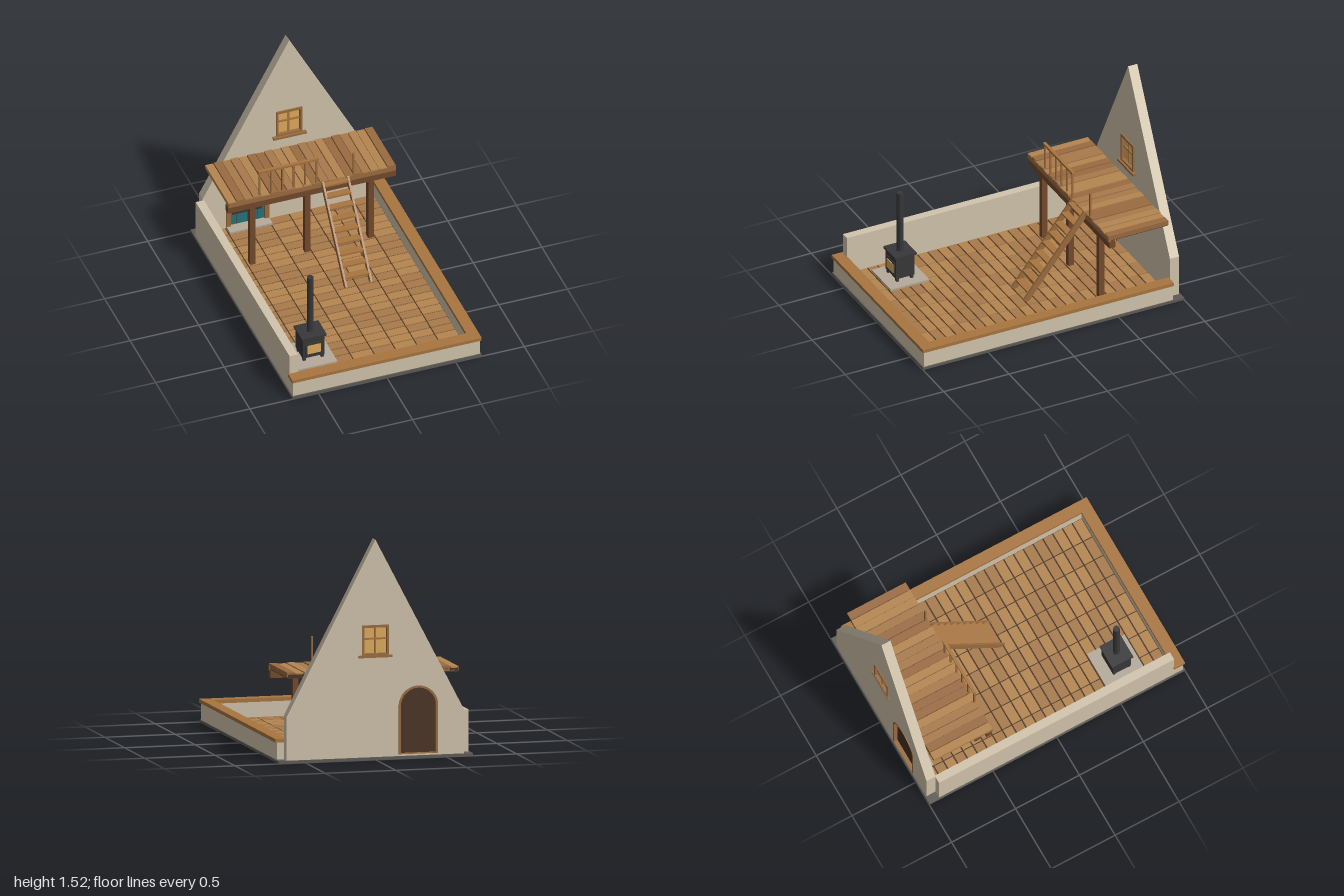
import * as THREE from 'three';

const mat = (color, opts = {}) => new THREE.MeshStandardMaterial({ color, ...opts });
const M = {
  plaster: mat(0xd3c5ad), slab: mat(0x5f5a54), trim: mat(0xa9763f), dark: mat(0x4a3220),
  beam: mat(0x754a2c), wood: mat(0x9c6d40), stone: mat(0xb5aa99), teal: mat(0x25747b),
  iron: mat(0x38383a, { flatShading: true }), glow: mat(0xe0ad5e), brass: mat(0xb98a45),
};
const planks = [0xb58650, 0xa87a4a, 0x9a6b40].map((c) => mat(c));

export function createModel() {
  const root = new THREE.Group();
  const group = (name, parent = root) => {
    const g = new THREE.Group();
    g.name = name;
    parent.add(g);
    return g;
  };
  const mesh = (parent, name, geo, material) => {
    const m = new THREE.Mesh(geo, material);
    m.name = name;
    parent.add(m);
    return m;
  };
  // Box given by its extents along each axis
  const box = (parent, name, material, x0, x1, y0, y1, z0, z1) => {
    const m = mesh(parent, name, new THREE.BoxGeometry(x1 - x0, y1 - y0, z1 - z0), material);
    m.position.set((x0 + x1) / 2, (y0 + y1) / 2, (z0 + z1) / 2);
    return m;
  };
  // Shape extruded from z0 to z1
  const slab = (parent, name, material, shape, z0, z1) => {
    const geo = new THREE.ExtrudeGeometry(shape, { depth: z1 - z0, bevelEnabled: false, curveSegments: 16 });
    return mesh(parent, name, geo.translate(0, 0, z0), material);
  };
  const archPath = (path, cx, r, bottom, spring) => {
    path.moveTo(cx - r, bottom);
    path.lineTo(cx + r, bottom);
    path.lineTo(cx + r, spring);
    path.absarc(cx, spring, r, 0, Math.PI, false);
    path.lineTo(cx - r, bottom);
    return path;
  };
  const rectPath = (path, x, y0, y1) => {
    path.moveTo(-x, y0);
    path.lineTo(x, y0);
    path.lineTo(x, y1);
    path.lineTo(-x, y1);
    path.closePath();
    return path;
  };

  // Foundation, low walls and capping
  const base = group('base');
  box(base, 'foundationSlab', M.slab, -0.69, 0.69, 0, 0.018, -1, 1);
  box(base, 'frontWall', M.plaster, -0.68, 0.68, 0.018, 0.135, 0.92, 0.99);
  box(base, 'rightSideLowWall', M.plaster, 0.615, 0.68, 0.018, 0.135, -0.92, 0.92);
  box(base, 'tallSideWall', M.plaster, -0.68, -0.62, 0.018, 0.31, -0.92, 0.92);
  box(base, 'frontCapping', M.trim, -0.69, 0.69, 0.135, 0.16, 0.915, 1);
  box(base, 'sideCapping', M.trim, 0.608, 0.69, 0.135, 0.16, -0.92, 0.915);

  // Floor boards in a regular grid
  const floor = group('floor');
  box(floor, 'subfloor', M.dark, -0.62, 0.615, 0.016, 0.024, -0.92, 0.92);
  const dx = 1.235 / 8, dz = 1.84 / 24;
  for (let i = 0; i < 8; i++) for (let j = 0; j < 24; j++) {
    const x = -0.62 + i * dx, z = -0.92 + j * dz;
    box(floor, 'floorBoard', planks[(i * 5 + j * 3 + ((i * j) % 3)) % 2],
      x + 0.004, x + dx - 0.004, 0.022, 0.031, z + 0.005, z + dz - 0.005);
  }

  // Gable wall with door and window openings
  const doorX = -0.305, spring = 0.36;
  const gable = new THREE.Shape();
  gable.moveTo(-0.63, 0.015);
  gable.lineTo(0.63, 0.015);
  gable.lineTo(0.63, 0.32);
  gable.lineTo(0, 1.52);
  gable.lineTo(-0.63, 0.32);
  gable.closePath();
  gable.holes.push(archPath(new THREE.Path(), doorX, 0.14, 0.03, spring));
  gable.holes.push(rectPath(new THREE.Path(), 0.085, 0.725, 0.92));
  slab(root, 'gableWall', M.plaster, gable, -0.99, -0.92);

  // Arched door
  const door = group('door');
  const lining = archPath(new THREE.Shape(), doorX, 0.14, 0.03, spring);
  lining.holes.push(archPath(new THREE.Path(), doorX, 0.125, 0.035, spring));
  slab(door, 'doorLining', M.wood, lining, -0.993, -0.915);
  const leaf = archPath(new THREE.Shape(), doorX, 0.126, 0.032, spring);
  slab(door, 'doorBack', M.dark, leaf, -0.965, -0.945);
  slab(door, 'doorLeaf', M.teal, leaf, -0.945, -0.922);
  for (const x of [-0.38, -0.305, -0.23]) box(door, 'boardSeam', M.dark, x - 0.0015, x + 0.0015, 0.035, 0.45, -0.923, -0.921);
  for (const y of [0.14, 0.343]) box(door, 'strapHinge', M.iron, -0.415, -0.2, y - 0.008, y + 0.008, -0.923, -0.915);
  const disc = (name, material, r, x, y, z) => {
    const m = mesh(door, name, new THREE.CylinderGeometry(r, r, 0.008, 24).rotateX(Math.PI / 2), material);
    m.position.set(x, y, z);
  };
  const ring = (name, r, t, x, y, z) =>
    mesh(door, name, new THREE.TorusGeometry(r, t, 8, 24), M.brass).position.set(x, y, z);
  disc('roundWindow', M.glow, 0.036, doorX, 0.343, -0.914);
  ring('roundWindowRim', 0.036, 0.007, doorX, 0.343, -0.912);
  box(door, 'roundWindowBar', M.dark, doorX - 0.028, doorX + 0.028, 0.338, 0.348, -0.912, -0.906);
  ring('ringHandle', 0.019, 0.005, -0.23, 0.213, -0.914);
  disc('handlePlate', M.iron, 0.01, -0.23, 0.228, -0.917);
  for (const s of [-1, 1]) {
    const x = doorX + s * 0.14;
    box(door, 'doorJamb', M.wood, x - 0.016, x + 0.016, 0.03, spring, -0.925, -0.905);
  }
  // Wedge blocks around the arch
  for (let i = 0; i < 9; i++) {
    const a = (i * Math.PI) / 9 + 0.012, b = ((i + 1) * Math.PI) / 9 - 0.012;
    const wedge = new THREE.Shape();
    wedge.absarc(doorX, spring, i === 4 ? 0.165 : 0.157, a, b, false);
    wedge.absarc(doorX, spring, 0.122, b, a, true);
    wedge.closePath();
    slab(door, 'archBlock', i % 2 ? M.wood : M.trim, wedge, -0.925, i === 4 ? -0.895 : -0.903);
  }
  box(door, 'doorStep', M.stone, -0.46, -0.15, 0.03, 0.045, -0.92, -0.84);

  // Window through the gable
  const win = group('window');
  const frame = rectPath(new THREE.Shape(), 0.095, 0.72, 0.93);
  frame.holes.push(rectPath(new THREE.Path(), 0.079, 0.735, 0.912));
  slab(win, 'windowFrame', M.wood, frame, -0.996, -0.91);
  box(win, 'glass', M.glow, -0.08, 0.08, 0.73, 0.915, -0.975, -0.935);
  box(win, 'mullion', M.trim, -0.006, 0.006, 0.73, 0.915, -0.985, -0.925);
  box(win, 'crossBar', M.trim, -0.08, 0.08, 0.829, 0.841, -0.985, -0.925);
  box(win, 'innerSill', M.wood, -0.12, 0.12, 0.705, 0.722, -0.93, -0.895);
  box(win, 'outerSill', M.wood, -0.12, 0.12, 0.705, 0.722, -1, -0.98);

  // Loft platform on posts
  const loft = group('loft');
  box(loft, 'deckUnderside', M.dark, -0.605, 0.6, 0.572, 0.6, -0.92, -0.475);
  box(loft, 'frontFascia', M.wood, -0.613, 0.61, 0.57, 0.605, -0.478, -0.46);
  box(loft, 'mainBeam', M.beam, -0.613, 0.61, 0.518, 0.572, -0.512, -0.468);
  const pw = 1.223 / 20;
  for (let i = 0; i < 20; i++) {
    const x = -0.613 + i * pw;
    box(loft, 'deckPlank', planks[(i * 2 + Math.floor(i / 3)) % 3], x + 0.002, x + pw - 0.003,
      0.58, i % 2 ? 0.615 : 0.61, -0.92, -0.462);
  }
  for (const x of [-0.43, -0.032, 0.43]) box(loft, 'post', M.beam, x - 0.02, x + 0.02, 0.03, 0.52, -0.51, -0.47);

  // Railing
  const railing = group('railing');
  box(railing, 'handRail', M.trim, -0.39, 0.05, 0.8, 0.817, -0.487, -0.465);
  for (let i = 0; i < 6; i++) {
    const x = -0.38 + i * 0.083;
    box(railing, 'baluster', M.wood, x - 0.006, x + 0.006, 0.605, 0.803, -0.482, -0.47);
  }
  box(railing, 'newelPost', M.wood, 0.299, 0.311, 0.605, 0.79, -0.482, -0.47);

  // Ladder stair to the loft
  const ladder = group('ladder');
  for (const x of [0.072, 0.255]) {
    const s = mesh(ladder, 'stringer', new THREE.BoxGeometry(0.015, 0.74, 0.042), M.wood);
    s.position.set(x, 0.322, -0.234);
    s.rotation.x = -Math.atan2(0.35, 0.44);
  }
  for (let i = 0; i < 9; i++) {
    const y = 0.093 + i * 0.063, z = -0.05 - i * 0.0501;
    box(ladder, 'tread', M.trim, 0.078, 0.25, y - 0.007, y + 0.007, z - 0.022, z + 0.03);
  }

  // Stove on its hearth
  const stove = group('stove');
  const sx = -0.417, sz = 0.615;
  box(stove, 'hearth', M.stone, -0.56, -0.272, 0.028, 0.045, 0.465, 0.76);
  box(stove, 'firebox', M.iron, sx - 0.08, sx + 0.08, 0.07, 0.235, sz - 0.07, sz + 0.07);
  box(stove, 'topPlate', M.iron, sx - 0.09, sx + 0.09, 0.233, 0.247, sz - 0.083, sz + 0.083);
  for (const a of [-1, 1]) for (const b of [-1, 1]) {
    const x = sx + a * 0.065, z = sz + b * 0.055;
    box(stove, 'leg', M.iron, x - 0.01, x + 0.01, 0.045, 0.072, z - 0.01, z + 0.01);
  }
  box(stove, 'fireDoor', M.iron, sx - 0.06, sx + 0.06, 0.09, 0.19, sz + 0.07, sz + 0.076);
  box(stove, 'fireGlass', M.glow, sx - 0.048, sx + 0.048, 0.105, 0.175, sz + 0.074, sz + 0.08);
  const pipe = (name, r, y0, y1) =>
    mesh(stove, name, new THREE.CylinderGeometry(r, r, y1 - y0, 12), M.iron).position.set(sx, (y0 + y1) / 2, sz);
  pipe('fluePipe', 0.023, 0.245, 0.703);
  pipe('flueCollar', 0.027, 0.245, 0.258);

  return root;
}
